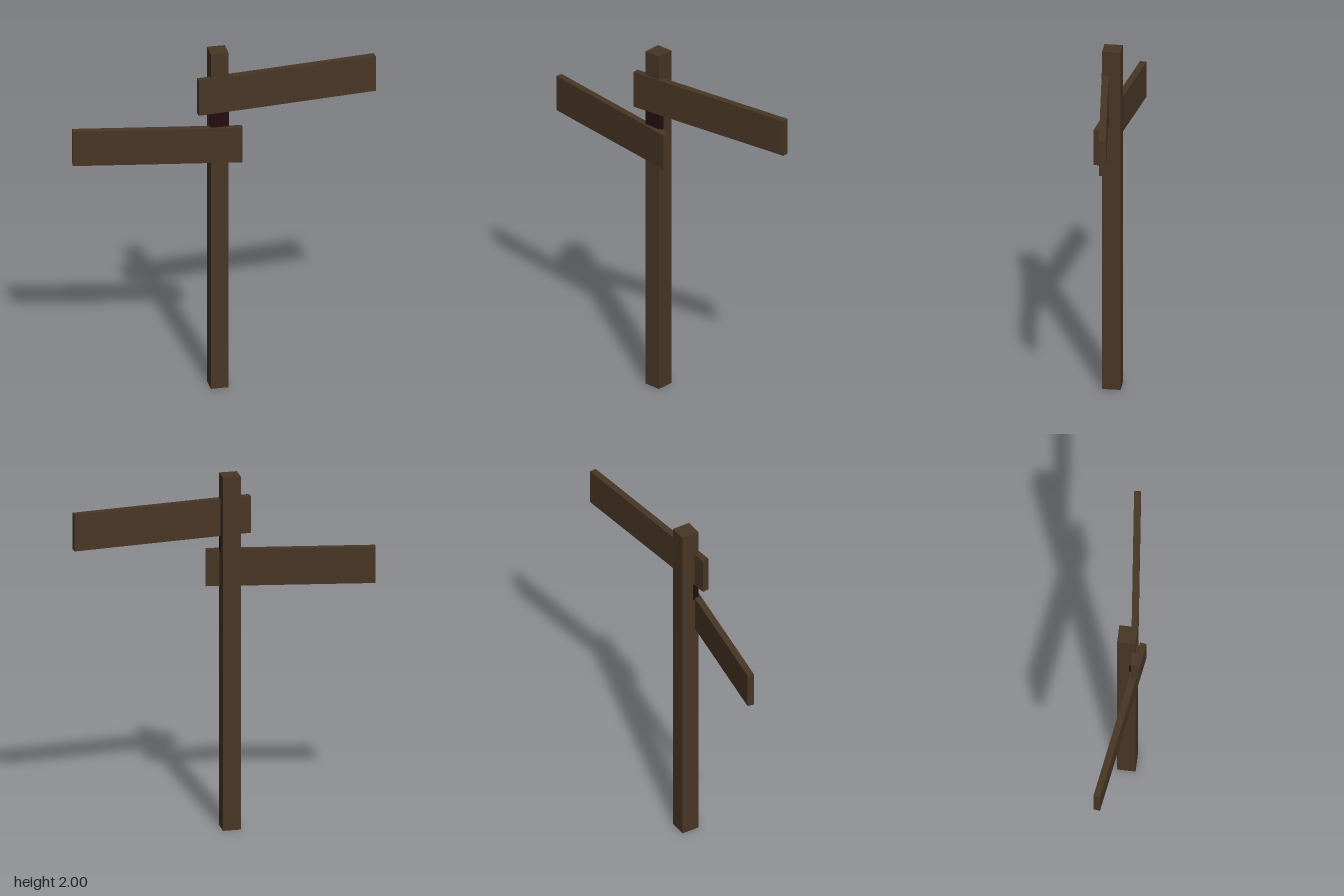
import * as THREE from 'three';

export function createModel() {
  const model = new THREE.Group();
  const wood = new THREE.MeshStandardMaterial({ color: 0x483625 });
  wood.name = 'brown wood';
  const dark = new THREE.MeshStandardMaterial({ color: 0x230d0f });
  dark.name = 'dark stained wood';

  function addBox(name, size, position, material, turn = 0) {
    const mesh = new THREE.Mesh(new THREE.BoxGeometry(...size), material);
    mesh.name = name;
    mesh.position.set(...position);
    mesh.rotation.y = turn;
    model.add(mesh);
  }

  // Square post with a dark underside
  const postX = -0.046, postW = 0.098;
  addBox('post', [postW, 2, 0.1], [postX, 1, 0], [wood, wood, wood, dark, wood, wood]);

  // Dark stain on the post between and behind the boards
  addBox('frontStain', [postW, 0.32, 0.002], [postX, 1.68, 0.05], dark);
  for (const side of [-1, 1]) {
    addBox('sideStain', [0.002, 0.1, 0.035], [postX + side * postW / 2, 1.605, 0.0325], dark);
    addBox('sideStainEdge', [0.002, 0.2, 0.01], [postX + side * postW / 2, 1.46, 0.045], dark);
  }

  // Two sign boards, each swung slightly backwards
  addBox('upperBoard', [0.998, 0.208, 0.037], [0.33, 1.755, 0], wood, 0.104);
  addBox('lowerBoard', [0.914, 0.205, 0.037], [-0.378, 1.461, 0], wood, -0.157);

  return model;
}
